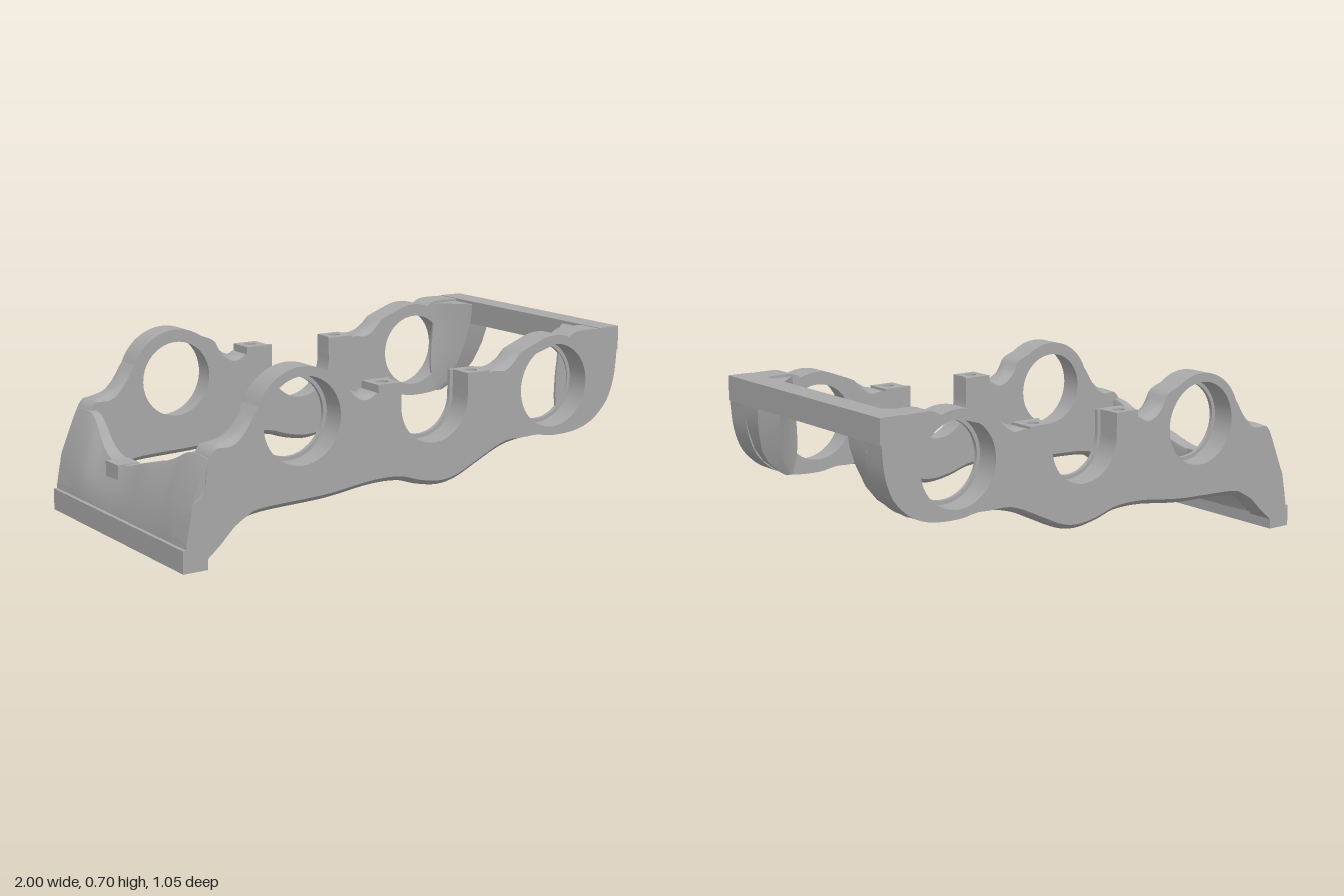
import * as THREE from 'three';
import { toCreasedNormals } from 'three/addons/utils/BufferGeometryUtils.js';

const V2 = (p) => new THREE.Vector2(p[0], p[1]);
const { lerp, smoothstep } = THREE.MathUtils;
const INNER = 0.415, LIP = 0.43, OUTER = 0.525;

// Turns a closed solid's faces outward and gives it creased normals
function finish(source) {
  const geo = source.index ? source.toNonIndexed() : source;
  const p = geo.attributes.position;
  const a = new THREE.Vector3(), b = new THREE.Vector3(), c = new THREE.Vector3();
  let volume = 0;
  for (let i = 0; i < p.count; i += 3) {
    a.fromBufferAttribute(p, i); b.fromBufferAttribute(p, i + 1); c.fromBufferAttribute(p, i + 2);
    volume += a.dot(b.cross(c));
  }
  if (volume < 0) {
    for (let i = 0; i < p.count; i += 3) {
      b.fromBufferAttribute(p, i + 1); c.fromBufferAttribute(p, i + 2);
      p.setXYZ(i + 1, c.x, c.y, c.z);
      p.setXYZ(i + 2, b.x, b.y, b.z);
    }
  }
  geo.deleteAttribute('uv');
  geo.computeVertexNormals();
  return toCreasedNormals(geo, 0.45);
}

// Solid through closed cross-sections lying in the plane of x and the given axis
function loft(rings, axis) {
  const n = rings[0].length, idx = [];
  for (let i = 0; i < rings.length - 1; i++) {
    for (let j = 0; j < n; j++) {
      const a = i * n + j, b = i * n + (j + 1) % n;
      idx.push(a, b, a + n, b, b + n, a + n);
    }
  }
  for (const i of [0, rings.length - 1]) {
    const outline = rings[i].map((q) => new THREE.Vector2(q[0], q[axis]));
    const counter = !THREE.ShapeUtils.isClockWise(outline);
    for (const t of THREE.ShapeUtils.triangulateShape(outline, [])) {
      const [x, y, z] = t.map((q) => q + i * n);
      if (counter === (i === 0)) idx.push(x, z, y); else idx.push(x, y, z);
    }
  }
  const geo = new THREE.BufferGeometry();
  geo.setAttribute('position', new THREE.Float32BufferAttribute(rings.flat(2), 3));
  geo.setIndex(idx);
  return geo;
}

function addHole(shape, x, y, r) {
  const hole = new THREE.Path();
  hole.absarc(x, y, r, 0, Math.PI * 2, false);
  shape.holes.push(hole);
}

// Side frame outline with two bearing bores and an open saddle
function frameShape(bore, saddle) {
  const s = new THREE.Shape();
  const curve = (pts) => s.splineThru(pts.map(V2));
  s.moveTo(-0.985, 0.04);
  s.lineTo(-0.985, 0.1);
  curve([[-0.97, 0.18], [-0.955, 0.24], [-0.91, 0.29], [-0.895, 0.38], [-0.86, 0.435], [-0.78, 0.465], [-0.72, 0.52], [-0.685, 0.565]]);
  s.absarc(-0.5, 0.49, 0.2, 2.75, 0.95, true);
  curve([[-0.33, 0.63], [-0.29, 0.585], [-0.23, 0.555], [-0.17, 0.555]]);
  s.lineTo(-0.17, 0.535);
  s.lineTo(0.09 - saddle, 0.535);
  s.absarc(0.09, 0.49, saddle, Math.PI, Math.PI * 2, false);
  s.lineTo(0.09 + saddle, 0.535);
  s.lineTo(0.35, 0.535);
  s.lineTo(0.35, 0.575);
  curve([[0.42, 0.595], [0.5, 0.638], [0.587, 0.672]]);
  s.absarc(0.67, 0.49, 0.2, 2, 1.2, true);
  curve([[0.79, 0.695], [0.9, 0.695]]);
  s.lineTo(0.995, 0.69);
  s.lineTo(0.995, 0.6);
  curve([[0.985, 0.5], [0.96, 0.42], [0.92, 0.365], [0.86, 0.32], [0.78, 0.295], [0.67, 0.29], [0.58, 0.302], [0.5, 0.292],
    [0.4, 0.265], [0.3, 0.22], [0.2, 0.175], [0.12, 0.162], [0.03, 0.175], [-0.07, 0.203], [-0.2, 0.205],
    [-0.4, 0.182], [-0.68, 0.17], [-0.77, 0.14], [-0.85, 0.08], [-0.9, 0.04]]);
  s.closePath();
  addHole(s, -0.5, 0.49, bore);
  addHole(s, 0.67, 0.49, bore);
  return s;
}

// Extruded slab whose lower edge and upper dips are rounded across the width
function frameSlab(shape, z0, z1, steps) {
  const geo = new THREE.ExtrudeGeometry(shape, { depth: z1 - z0, steps, curveSegments: 28, bevelEnabled: false });
  geo.translate(0, 0, z0);
  const dips = [[-0.78, 0.08], [-0.25, 0.07], [0.435, 0.065]];
  const p = geo.attributes.position;
  for (let i = 0; i < p.count; i++) {
    const x = p.getX(i), y = p.getY(i), t = (p.getZ(i) - 0.47) / 0.055;
    const round = t * t * t * t;
    if (y < 0.31) {
      const weight = smoothstep(x, -0.88, -0.72) * (1 - smoothstep(x, 0.42, 0.56));
      p.setY(i, y + 0.022 * round * weight);
    } else if (y > 0.43) {
      for (const [cx, w] of dips) p.setY(i, p.getY(i) - 0.022 * round * Math.max(0, 1 - ((x - cx) / w) ** 2));
    }
  }
  return geo;
}

// Drilled cap of a saddle lug; side is the direction towards the saddle
function lugCap(x0, x1, side) {
  const s = new THREE.Shape();
  const near = side > 0 ? x1 : x0, far = side > 0 ? x0 : x1;
  const step = near - side * 0.015;
  s.setFromPoints([[far, INNER], [near, INNER], [near, LIP], [step, LIP], [step, OUTER], [far, OUTER]].map(V2));
  addHole(s, (far + step) / 2, 0.475, 0.023);
  const geo = new THREE.ExtrudeGeometry(s, { depth: 0.05, curveSegments: 16, bevelEnabled: false });
  return geo.rotateX(Math.PI / 2).translate(0, 0.585, 0);
}

// Tapered gusset between side frame and upper crossbar: [y, inner x, outer x, inner z]
function gusset() {
  const levels = [[0.298, 0.79, 0.82, 0.41], [0.33, 0.78, 0.87, 0.395], [0.37, 0.77, 0.92, 0.378], [0.42, 0.765, 0.955, 0.36],
    [0.5, 0.768, 0.982, 0.335], [0.56, 0.775, 0.993, 0.32], [0.62, 0.78, 0.995, 0.307], [0.685, 0.78, 0.995, 0.3]];
  return loft(levels.map(([y, xi, xo, z]) => {
    const at = (u, v) => [lerp(xi, xo, u), y, lerp(0.415, z, v)];
    return [[xi, y, 0.425], at(0, 0), at(0.15, 0.25), at(0.35, 0.65), at(0.55, 1), at(1, 1), [xo, y, 0.425]];
  }), 2);
}

// End wall with a sagging top edge, flat inside and sloped outside
function endWall() {
  const top = new THREE.SplineCurve([[-0.52, 0.4], [-0.42, 0.405], [-0.35, 0.38], [-0.27, 0.3], [-0.18, 0.264], [-0.07, 0.262], [0, 0.274],
    [0.1, 0.305], [0.2, 0.328], [0.3, 0.362], [0.37, 0.395], [0.44, 0.405], [0.52, 0.4]].map(V2));
  return loft(top.getPoints(60).map(({ x: z, y }) => {
    const low = 0.1 + 0.2 * (z + 0.08) ** 2;
    const lean = 0.03 * (1 - smoothstep(Math.abs(z), 0.1, 0.42));
    return [[-0.858, y], [-0.855, y - 0.012], [-0.855, low + 0.03], [-0.865, low], [-0.89, low - 0.03], [-0.902, 0.04], [-0.985, 0.04],
      [-0.985, 0.1], [-0.96, 0.1 + (y - 0.1) * 0.45], [-0.905 - lean, y - 0.03], [-0.89 - lean, y]]
      .map((q) => [q[0], q[1], z]);
  }), 1);
}

function box(x0, x1, y0, y1, z0, z1) {
  return new THREE.BoxGeometry(x1 - x0, y1 - y0, z1 - z0).translate((x0 + x1) / 2, (y0 + y1) / 2, (z0 + z1) / 2);
}

export function createModel() {
  const model = new THREE.Group();
  model.name = 'bearingFrame';
  const metal = new THREE.MeshStandardMaterial({ color: 0xa8a8a8 });
  metal.name = 'greyMetal';
  const add = (name, geo) => {
    const mesh = new THREE.Mesh(finish(geo), metal);
    mesh.name = name;
    model.add(mesh);
  };

  // Crossbars and end wall
  add('lowerCrossbar', box(-1, -0.9, 0, 0.085, -OUTER, OUTER));
  add('upperCrossbar', box(0.9, 1, 0.6, 0.697, -OUTER, OUTER));
  add('endWall', endWall());
  add('wallPad', box(-0.945, -0.853, 0.145, 0.264, -0.17, -0.07));

  // Mirrored side frames
  for (const [name, side] of [['front', 1], ['back', -1]]) {
    const parts = {
      SideFrame: frameSlab(frameShape(0.165, 0.155), LIP, OUTER, 8),
      BoreLips: frameSlab(frameShape(0.15, 0.14), INNER, LIP, 3),
      LeftLug: lugCap(0.23, 0.35, -1),
      RightLug: lugCap(-0.17, -0.05, 1),
      Gusset: gusset(),
    };
    for (const [part, geo] of Object.entries(parts)) add(name + part, geo.scale(1, 1, side));
  }
  return model;
}
